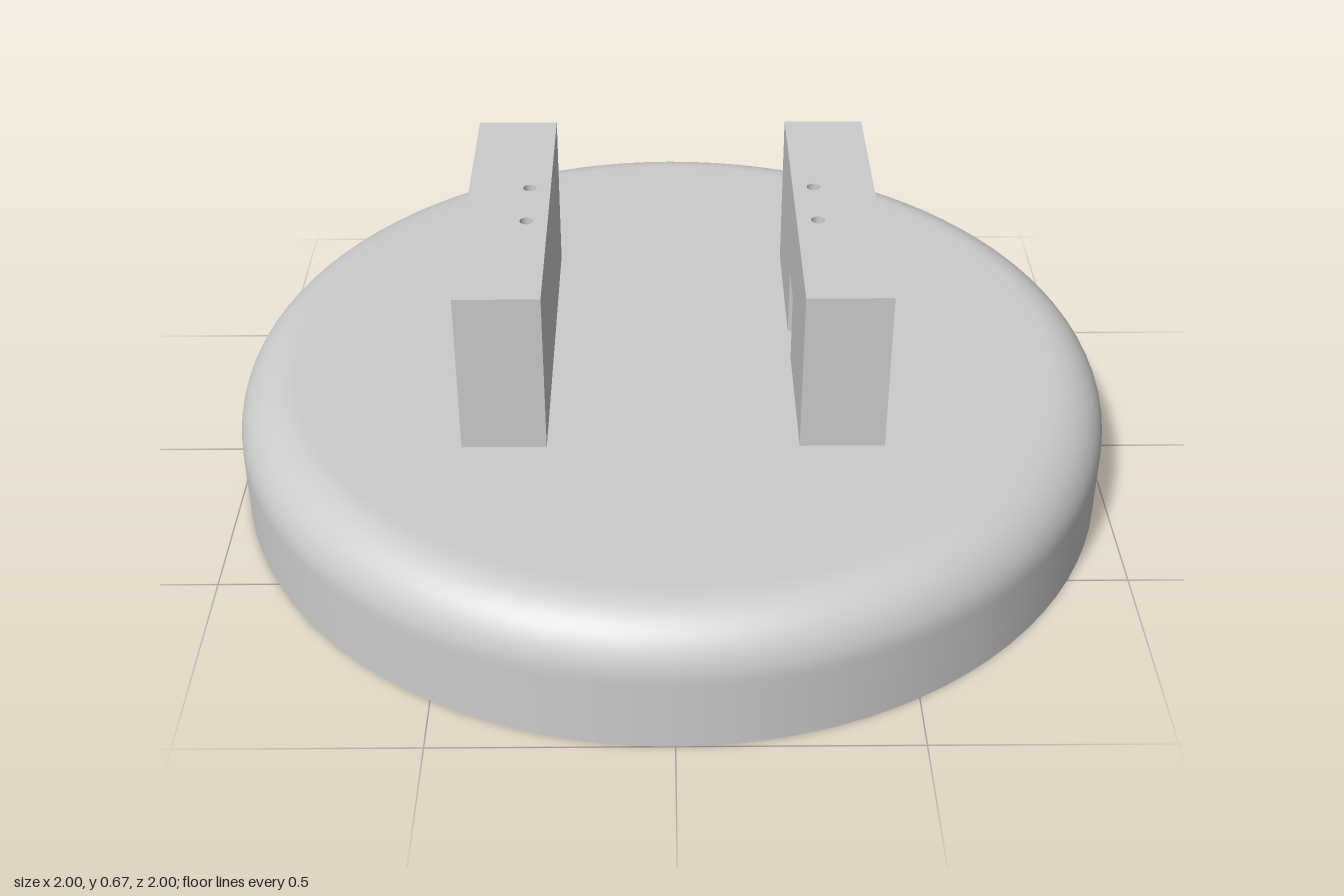
import * as THREE from 'three';
import { mergeGeometries } from 'three/addons/utils/BufferGeometryUtils.js';

const BASE_TOP = 0.297, BLOCK_TOP = 0.672, HALF_LENGTH = 0.4;
const NOTCH_TOP = 0.46, NOTCH_HALF = 0.057;
const HOLE_X = 0.32, HOLE_Z = 0.075, HOLE_R = 0.015, HOLE_DEPTH = 0.2;

const grey = new THREE.MeshStandardMaterial({ color: 0xcccccc });
grey.name = 'plain grey';

function add(parent, name, geometry) {
  const mesh = new THREE.Mesh(geometry, grey);
  mesh.name = name;
  parent.add(mesh);
  return mesh;
}

// Drops horizontal triangles lying at any of the given heights
function withoutLevels(geometry, levels) {
  const p = geometry.attributes.position, n = geometry.attributes.normal;
  const pos = [], nor = [];
  for (let i = 0; i < p.count; i += 3) {
    const flat = levels.some(y => [0, 1, 2].every(k => Math.abs(p.getY(i + k) - y) < 1e-5));
    if (flat) continue;
    for (let k = i; k < i + 3; k++) {
      pos.push(p.getX(k), p.getY(k), p.getZ(k));
      nor.push(n.getX(k), n.getY(k), n.getZ(k));
    }
  }
  const out = new THREE.BufferGeometry();
  out.setAttribute('position', new THREE.Float32BufferAttribute(pos, 3));
  out.setAttribute('normal', new THREE.Float32BufferAttribute(nor, 3));
  return out;
}

// Round base with a filleted upper rim
function makeBase() {
  const r = 0.13, profile = [new THREE.Vector2(1, 0), new THREE.Vector2(1, BASE_TOP - r - 0.01)];
  for (let i = 0; i <= 16; i++) {
    const a = (i / 16) * Math.PI / 2;
    profile.push(new THREE.Vector2(1 - r + r * Math.cos(a), BASE_TOP - r + r * Math.sin(a)));
  }
  profile.push(new THREE.Vector2(1 - r - 0.01, BASE_TOP), new THREE.Vector2(0, BASE_TOP));
  const base = new THREE.Group();
  base.name = 'base';
  add(base, 'baseBody', new THREE.LatheGeometry(profile, 96));
  add(base, 'baseUnderside', new THREE.CircleGeometry(1, 96).rotateX(Math.PI / 2));
  return base;
}

// Upright block from x0 to x1 with two drilled holes and an optional notch through it
function makeBlock(name, x0, x1, holeX, notched) {
  const block = new THREE.Group();
  block.name = name;

  const side = new THREE.Shape();
  side.moveTo(-HALF_LENGTH, BASE_TOP);
  if (notched) {
    side.lineTo(-NOTCH_HALF, BASE_TOP);
    side.lineTo(-NOTCH_HALF, NOTCH_TOP);
    side.lineTo(NOTCH_HALF, NOTCH_TOP);
    side.lineTo(NOTCH_HALF, BASE_TOP);
  }
  side.lineTo(HALF_LENGTH, BASE_TOP);
  side.lineTo(HALF_LENGTH, BLOCK_TOP);
  side.lineTo(-HALF_LENGTH, BLOCK_TOP);
  side.closePath();
  const walls = new THREE.ExtrudeGeometry(side, { depth: x1 - x0, bevelEnabled: false })
    .rotateY(Math.PI / 2).translate(x0, 0, 0);
  add(block, name + 'Walls', withoutLevels(walls, [BASE_TOP, BLOCK_TOP]));

  // Top face pierced by the holes
  const top = new THREE.Shape([
    new THREE.Vector2(x0, -HALF_LENGTH), new THREE.Vector2(x1, -HALF_LENGTH),
    new THREE.Vector2(x1, HALF_LENGTH), new THREE.Vector2(x0, HALF_LENGTH),
  ]);
  const bores = [];
  for (const z of [-HOLE_Z, HOLE_Z]) {
    top.holes.push(new THREE.Path().absarc(holeX, z, HOLE_R, 0, Math.PI * 2, true));
    // Mirrored radius and reversed winding turn the tube inside out
    const tube = new THREE.CylinderGeometry(HOLE_R, HOLE_R, HOLE_DEPTH, 24, 1, true);
    tube.index.array.reverse();
    const n = tube.attributes.normal;
    for (let i = 0; i < n.count; i++) n.setXYZ(i, -n.getX(i), -n.getY(i), -n.getZ(i));
    bores.push(tube.translate(holeX, BLOCK_TOP - HOLE_DEPTH / 2, z));
    bores.push(new THREE.CircleGeometry(HOLE_R, 24).rotateX(-Math.PI / 2)
      .translate(holeX, BLOCK_TOP - HOLE_DEPTH, z));
  }
  add(block, name + 'Top', new THREE.ShapeGeometry(top, 24)
    .rotateX(-Math.PI / 2).translate(0, BLOCK_TOP, 0));
  add(block, name + 'Holes', mergeGeometries(bores));
  return block;
}

export function createModel() {
  const model = new THREE.Group();
  model.name = 'mountingBase';
  model.add(makeBase());
  model.add(makeBlock('leftBlock', 0.273, 0.457, HOLE_X, true));
  model.add(makeBlock('rightBlock', -0.457, -0.273, -HOLE_X, false));
  return model;
}
